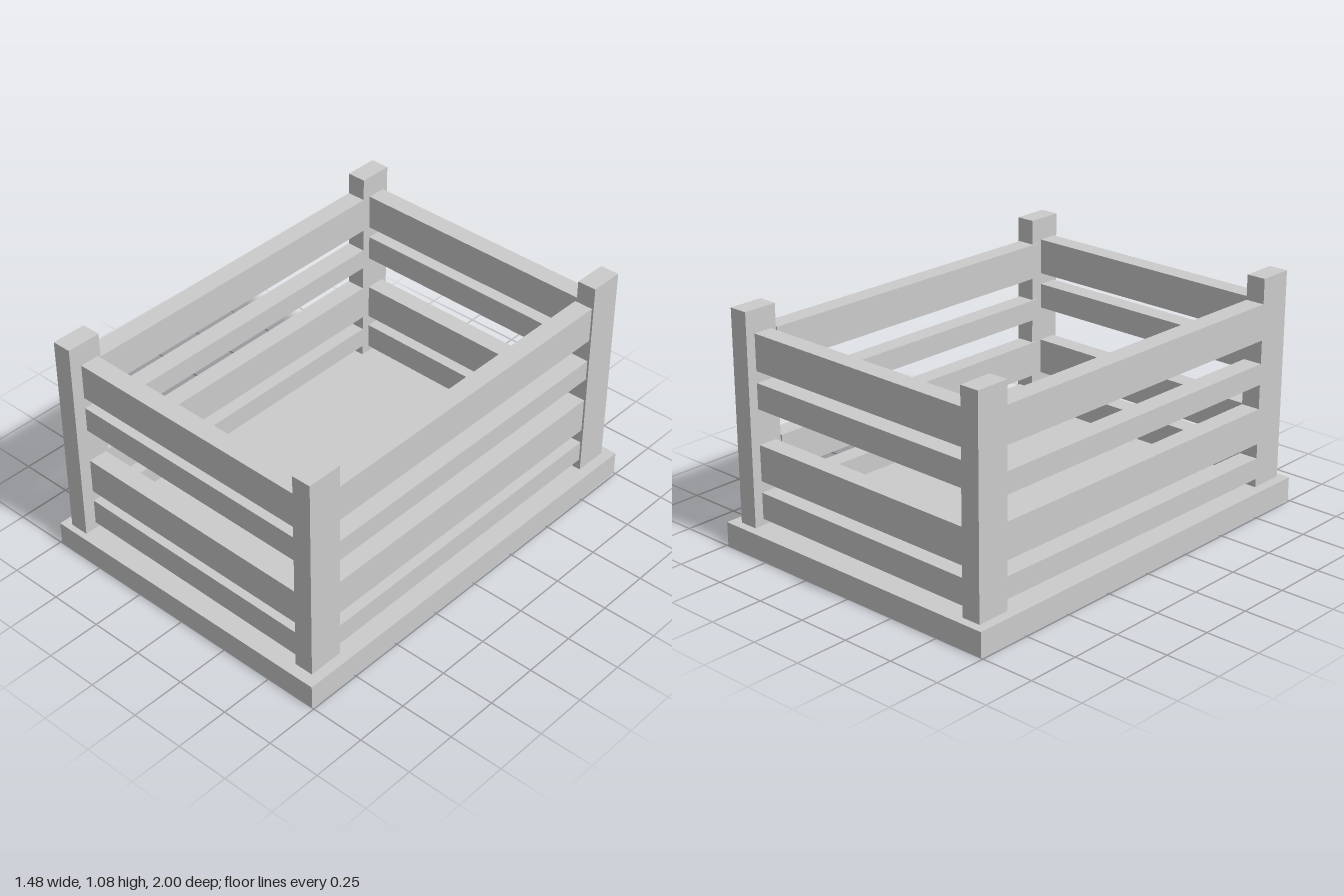
import * as THREE from 'three';

const material = new THREE.MeshStandardMaterial({ color: 0xcccccc, flatShading: true });

// Box given by its [min, max] extents on each axis
function block(name, [x0, x1], [y0, y1], [z0, z1]) {
  const geometry = new THREE.BoxGeometry(x1 - x0, y1 - y0, z1 - z0);
  geometry.translate((x0 + x1) / 2, (y0 + y1) / 2, (z0 + z1) / 2);
  const mesh = new THREE.Mesh(geometry, material);
  mesh.name = name;
  return mesh;
}

// Slide the cross-sections along one axis, so that a rail runs slightly askew
function skew(mesh, along, across, slope) {
  const p = mesh.geometry.attributes.position;
  for (let i = 0; i < p.count; i++) {
    p.setComponent(i, across, p.getComponent(i, across) + slope * p.getComponent(i, along));
  }
  mesh.geometry.computeVertexNormals();
  return mesh;
}

export function createModel() {
  const model = new THREE.Group();
  model.name = 'slattedCrate';

  // Floor slab
  model.add(block('base', [-0.74, 0.74], [0, 0.112], [-1, 1]));

  // Corner posts
  const postHeight = [0.112, 1.076];
  const leftX = [0.602, 0.691], rightX = [-0.695, -0.605];
  model.add(
    block('frontLeftPost', leftX, postHeight, [0.78, 0.946]),
    block('frontRightPost', rightX, postHeight, [0.81, 0.971]),
    block('backLeftPost', leftX, postHeight, [-0.96, -0.8]),
    block('backRightPost', rightX, postHeight, [-0.96, -0.8]),
  );

  // Front and back rails, drifting a little in z from one post to the other
  const endRails = [[0.142, 0.262], [0.315, 0.479], [0.64, 0.756], [0.809, 0.973]];
  const span = [-0.605, 0.602];
  for (const y of endRails) {
    model.add(skew(block('frontRail', span, y, [0.832, 0.922]), 0, 2, 0.0125));
    model.add(skew(block('backRail', span, y, [-0.923, -0.833]), 0, 2, 0.0125));
  }

  // Side rails, rising slightly towards the back
  const sideRails = [[0.157, 0.255], [0.323, 0.487], [0.6, 0.697], [0.804, 0.968]];
  for (const y of sideRails) {
    model.add(skew(block('leftRail', [0.594, 0.682], y, [-0.8, 0.805]), 2, 1, -0.007));
    model.add(skew(block('rightRail', [-0.695, -0.605], y, [-0.8, 0.81]), 2, 1, -0.007));
  }

  return model;
}
